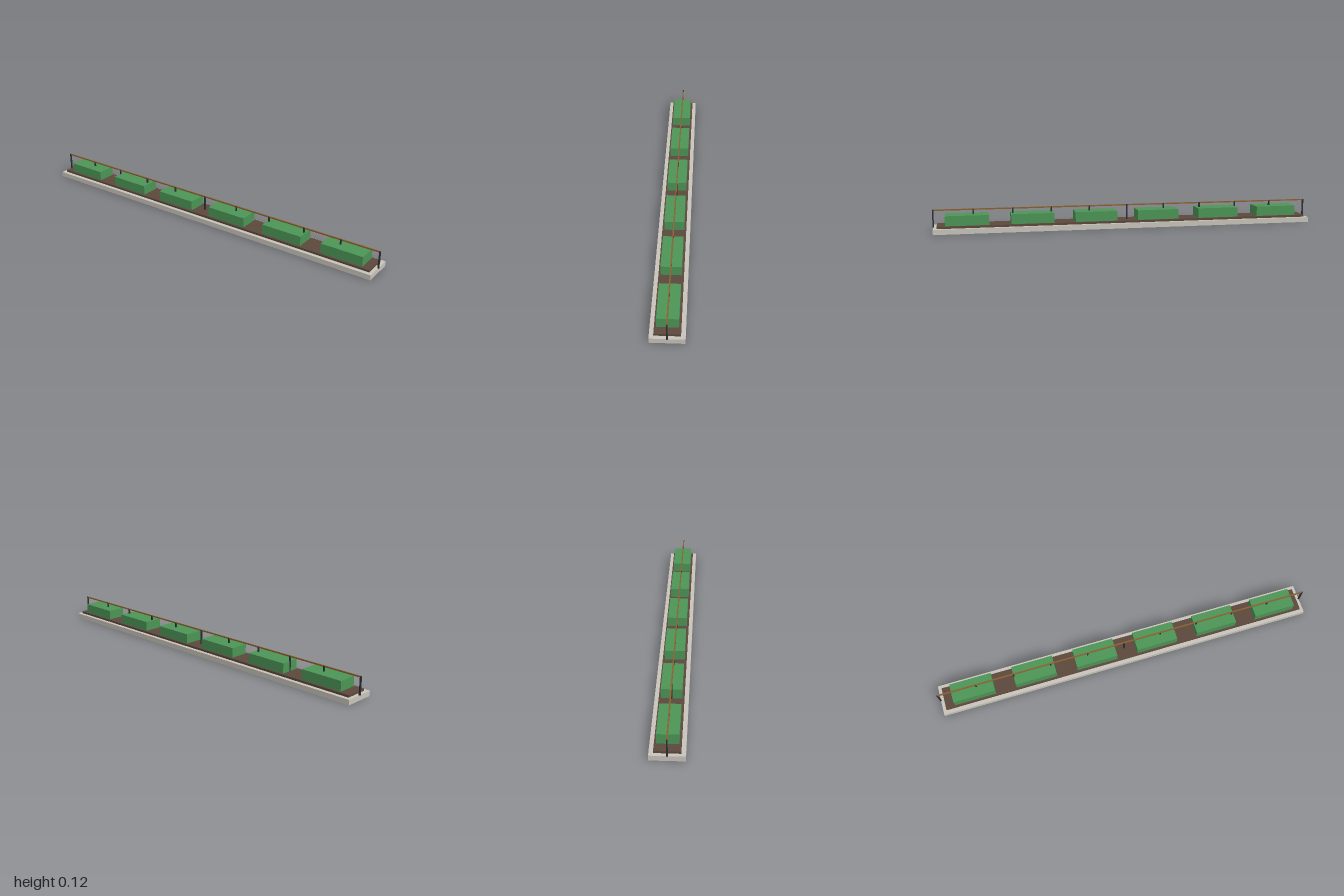
import * as THREE from 'three';

export function createModel() {
  const group = new THREE.Group();
  group.name = 'hedgePlanter';

  const material = (name, color) => {
    const m = new THREE.MeshStandardMaterial({ color });
    m.name = name;
    return m;
  };
  const stone = material('pale stone', 0xc8c4ba);
  const soil = material('dark soil', 0x5c483c);
  const leaf = material('hedge green', 0x4c9556);
  const iron = material('dark iron', 0x2b2e35);
  const wood = material('rail wood', 0x8a6030);

  // Box spanning y0 to y1, centred on x = 0
  const block = (name, mat, width, y0, y1, length, z = 0) => {
    const mesh = new THREE.Mesh(new THREE.BoxGeometry(width, y1 - y0, length), mat);
    mesh.name = name;
    mesh.position.set(0, (y0 + y1) / 2, z);
    group.add(mesh);
  };

  const half = 0.9965;

  // Kerb and planting bed
  block('kerb', stone, 0.16, 0, 0.026, half * 2);
  block('soilBed', soil, 0.12, 0.026, 0.037, 1.957);

  // Row of six clipped hedges
  for (let i = 0; i < 6; i++) {
    block('hedge' + (i + 1), leaf, 0.1, 0.037, 0.088, 0.219, 0.0045 + (i - 2.5) * 0.3295);
  }

  // Eleven posts carrying a rail along the middle
  for (let i = 0; i <= 10; i++) {
    block('post' + (i + 1), iron, 0.007, 0.026, 0.1155, 0.007, -half + i * half / 5);
  }
  block('rail', wood, 0.0066, 0.1095, 0.116, half * 2);

  return group;
}
